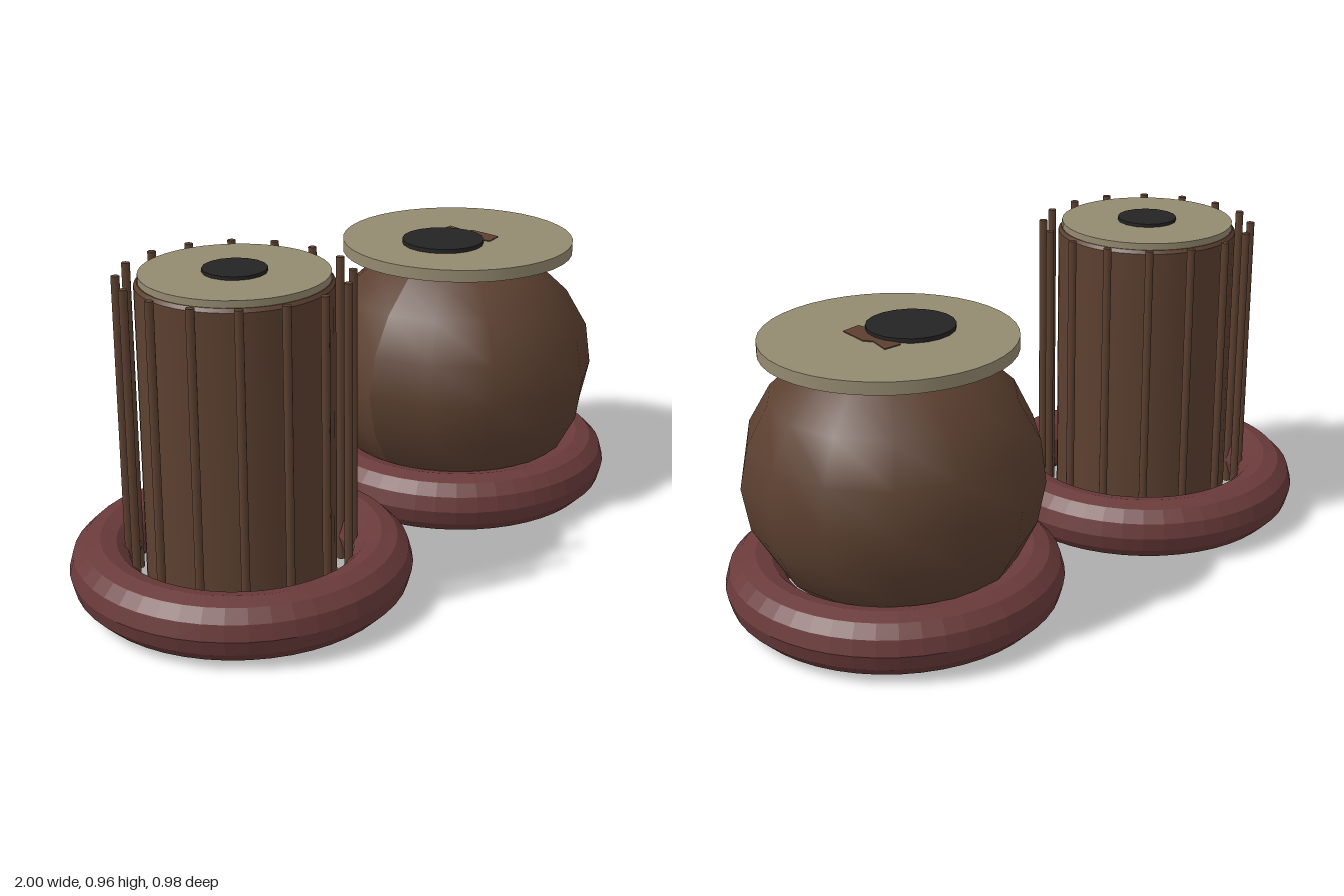
import * as THREE from 'three';

export function createModel() {
  const root = new THREE.Group();
  const wood = new THREE.MeshStandardMaterial({ color: 0x5c4030, name: 'brown wood' });
  const cloth = new THREE.MeshStandardMaterial({ color: 0x6a3a3a, name: 'maroon cloth', flatShading: true });
  const skin = new THREE.MeshStandardMaterial({ color: 0x948a70, name: 'cream skin' });
  const paste = new THREE.MeshStandardMaterial({ color: 0x242424, name: 'black paste' });

  function add(parent, name, geometry, material, x = 0, y = 0, z = 0) {
    const mesh = new THREE.Mesh(geometry, material);
    mesh.name = name;
    mesh.position.set(x, y, z);
    parent.add(mesh);
    return mesh;
  }

  // Upright disc between two heights
  function disc(parent, name, radius, y0, y1, material, sides = 40, x = 0, z = 0) {
    return add(parent, name, new THREE.CylinderGeometry(radius, radius, y1 - y0, sides),
      material, x, (y0 + y1) / 2, z);
  }

  // Each drum stands in a padded cushion ring
  function drum(name, x) {
    const group = new THREE.Group();
    group.name = name;
    group.position.x = x;
    root.add(group);
    const ring = new THREE.TorusGeometry(0.4, 0.09, 12, 48).rotateX(Math.PI / 2);
    add(group, 'cushionRing', ring, cloth, 0, 0.095, 0);
    return group;
  }

  // Tall drum: straight shell with a narrow bevel at the top
  const tall = drum('tallDrum', -0.51);
  disc(tall, 'shell', 0.273, 0.03, 0.925, wood);
  add(tall, 'shellBevel', new THREE.CylinderGeometry(0.265, 0.273, 0.01, 40), wood, 0, 0.93, 0);
  disc(tall, 'drumHead', 0.262, 0.93, 0.955, skin);
  disc(tall, 'headSpot', 0.09, 0.95, 0.965, paste, 16);

  // Tension rods standing around the shell
  const rodCount = 16;
  for (let i = 0; i < rodCount; i++) {
    const a = (i / rodCount) * Math.PI * 2;
    disc(tall, 'tensionRod', 0.012, 0.02, 0.95, wood, 8, 0.32 * Math.sin(a), 0.32 * Math.cos(a));
  }

  // Round drum: slightly uneven, hand-beaten bowl
  const round = drum('roundDrum', 0.51);
  const bowl = new THREE.SphereGeometry(1, 14, 10);
  const p = bowl.attributes.position;
  for (let i = 0; i < p.count; i++) {
    const x = p.getX(i), y = p.getY(i), z = p.getZ(i);
    const wobble = 1 + 0.018 * Math.sin(5 * x + 3 * y) * Math.cos(4 * z - 2 * y);
    p.setXYZ(i, x * 0.43 * wobble, y * 0.412, z * 0.442 * wobble);
  }
  bowl.computeVertexNormals();
  add(round, 'bowl', bowl, wood, -0.003, 0.412, 0);
  disc(round, 'drumHead', 0.362, 0.788, 0.825, skin);
  disc(round, 'headSpot', 0.127, 0.82, 0.838, paste, 20, -0.078, 0);

  // Worn patch of wood showing beside the spot
  const patch = new THREE.Shape([
    [0.03, 0.09], [0.085, 0.09], [0.07, 0.02], [0.088, 0], [0.08, -0.1], [0.02, -0.11], [0, 0],
  ].map(([x, y]) => new THREE.Vector2(x, y)));
  const patchGeometry = new THREE.ExtrudeGeometry(patch, { depth: 0.004, bevelEnabled: false });
  add(round, 'wornPatch', patchGeometry.rotateX(-Math.PI / 2), wood, 0, 0.824, 0);

  return root;
}
